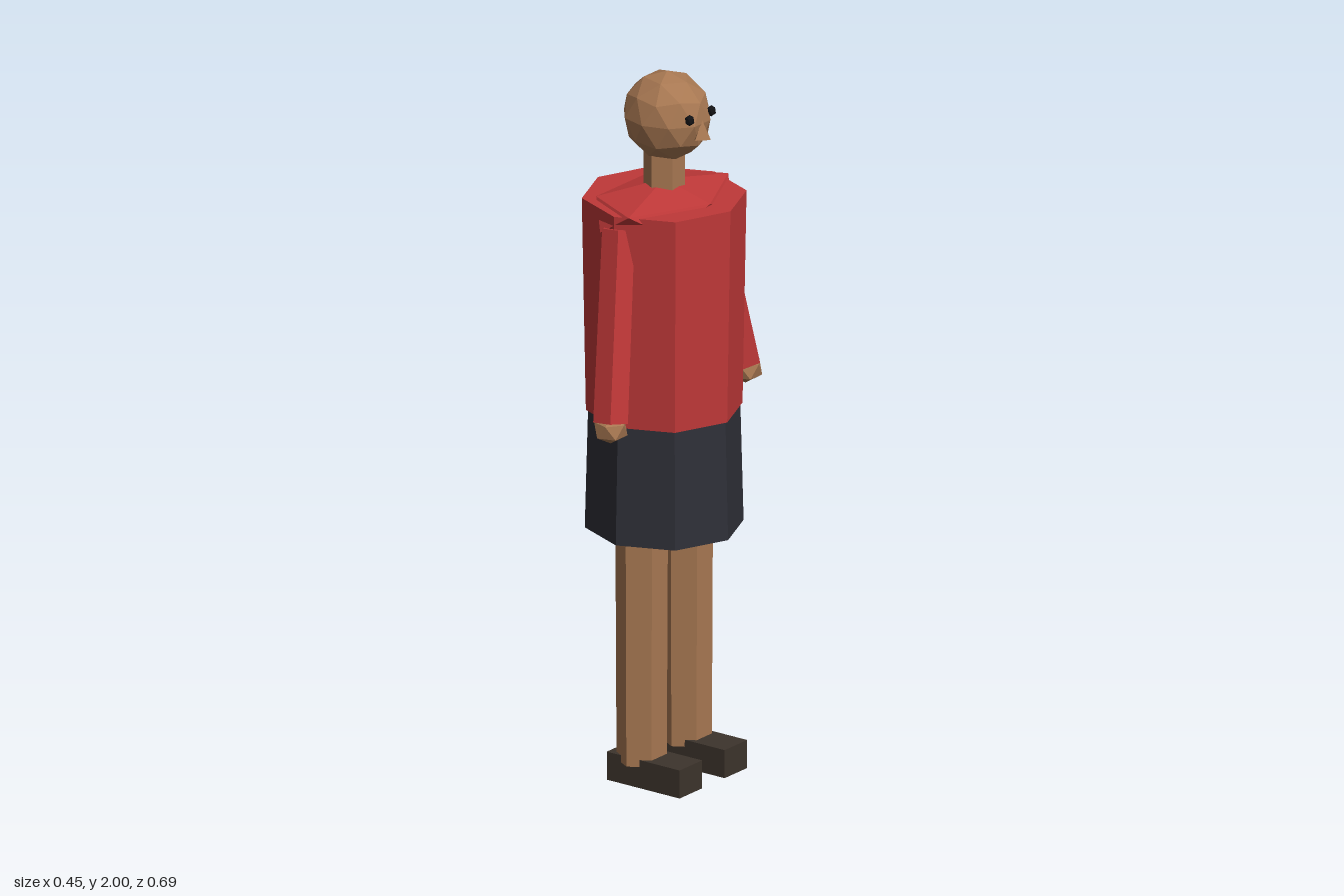
import * as THREE from 'three';

const paint = (name, color) => {
  const m = new THREE.MeshStandardMaterial({ color, flatShading: true });
  m.name = name;
  return m;
};

// Low-poly ball: an icosahedron with its poles on the y axis
function ball(detail) {
  const points = [0, 1, 0];
  const ring = (y, offset) => {
    for (let i = 0; i < 5; i++) {
      const a = offset + i * Math.PI * 0.4;
      points.push(0.8944 * Math.cos(a), y, 0.8944 * Math.sin(a));
    }
  };
  ring(0.4472, 0);
  ring(-0.4472, Math.PI / 5);
  points.push(0, -1, 0);
  const faces = [];
  for (let i = 0; i < 5; i++) {
    const n = (i + 1) % 5;
    faces.push(0, 1 + n, 1 + i, 1 + i, 1 + n, 6 + i);
    faces.push(6 + i, 1 + n, 6 + n, 11, 6 + i, 6 + n);
  }
  return new THREE.PolyhedronGeometry(points, faces, 1, detail);
}

export function createModel() {
  const model = new THREE.Group();
  model.name = 'person';

  const skin = paint('skin', 0xa87852);
  const red = paint('red jumper', 0xbf3838);
  const navy = paint('dark skirt', 0x2f3038);
  const leather = paint('shoe brown', 0x3d342c);
  const black = paint('eye black', 0x111114);

  const add = (name, geometry, material, x, y, z) => {
    const mesh = new THREE.Mesh(geometry, material);
    mesh.name = name;
    mesh.position.set(x, y, z);
    model.add(mesh);
    return mesh;
  };
  const addBall = (name, detail, material, x, y, z, rx, ry, rz) =>
    add(name, ball(detail), material, x, y, z).scale.set(rx, ry, rz);
  // Upright prism between two heights
  const column = (name, material, x, z, y0, y1, r0, r1, sides) =>
    add(name, new THREE.CylinderGeometry(r1, r0, y1 - y0, sides), material, x, (y0 + y1) / 2, z);

  // Body
  column('skirt', navy, 0, 0, 0.705, 1.045, 0.215, 0.206, 8);
  column('torso', red, 0, 0, 1.04, 1.645, 0.212, 0.223, 8);
  addBall('shoulders', 0, red, 0, 1.62, 0, 0.173, 0.07, 0.26);
  column('neck', skin, 0, 0, 1.64, 1.79, 0.056, 0.056, 6);

  // Head, looking along +x
  addBall('head', 1, skin, 0.01, 1.875, 0, 0.125, 0.125, 0.113);
  add('nose', new THREE.ConeGeometry(0.03, 0.052, 4), skin, 0.127, 1.86, 0);

  for (const side of [1, -1]) {
    const label = side > 0 ? 'Front' : 'Back';
    addBall('eye' + label, 0, black, 0.122, 1.896, side * 0.048, 0.014, 0.016, 0.014);

    // Legs and shoes
    column('leg' + label, skin, 0, side * 0.1, 0.06, 0.73, 0.068, 0.071, 6);
    add('shoe' + label, new THREE.BoxGeometry(0.245, 0.08, 0.1), leather, 0.043, 0.04, side * 0.1);

    // Five-sided sleeve from shoulder to wrist
    const top = new THREE.Vector3(-0.005, 1.603, side * 0.196);
    const wrist = new THREE.Vector3(0.045, 1.09, side * 0.297);
    const along = top.clone().sub(wrist);
    const turn = side > 0 ? Math.PI : Math.PI - 0.18;
    const sleeve = add('arm' + label,
      new THREE.CylinderGeometry(0.046, 0.049, along.length(), 5, 1, false, turn),
      red, ...top.clone().add(wrist).multiplyScalar(0.5).toArray());
    sleeve.quaternion.setFromUnitVectors(new THREE.Vector3(0, 1, 0), along.normalize());
    addBall('hand' + label, 0, skin, 0.047, 1.073, side * 0.299, 0.05, 0.042, 0.05);
  }
  return model;
}
